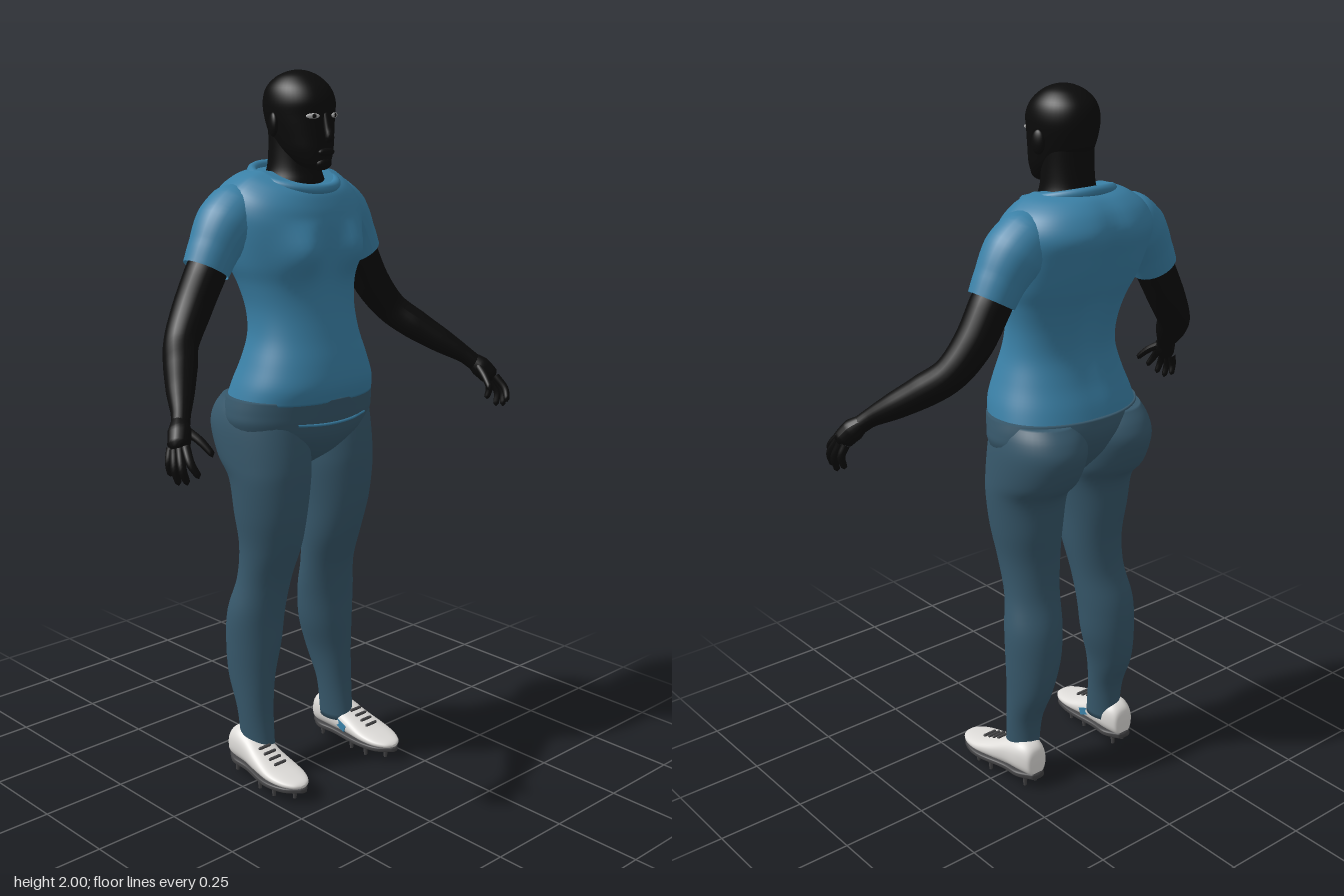
import * as THREE from 'three';

const mat = (name, color) => Object.assign(new THREE.MeshStandardMaterial({ color }), { name });
const MAT = {
  skin: mat('black skin', 0x0b0b0b),
  shirt: mat('shirt blue', 0x3a80a6),
  pants: mat('trouser slate blue', 0x37586b),
  shoe: mat('shoe white', 0xdedcd9),
  sole: mat('sole grey', 0x444446),
  eye: mat('eye grey', 0xb4b4b4),
};
MAT.shirt.side = THREE.DoubleSide;

// Smooth closed body from cross-sections [height, centreX, halfWidth, zFront, zBack], rising
function loft(sections, { p = 2, seg = 48, steps = 5, bend } = {}) {
  const n = (sections.length - 1) * steps, pos = [], idx = [];
  const at = (k, c) => sections[Math.min(Math.max(k, 0), sections.length - 1)][c];
  const value = (u, c) => {
    const k = Math.min(Math.floor(u), sections.length - 2), t = u - k;
    const [a, b, d, e] = [at(k - 1, c), at(k, c), at(k + 1, c), at(k + 2, c)];
    return b + 0.5 * t * (d - a + t * (2 * a - 5 * b + 4 * d - e + t * (3 * (b - d) + e - a)));
  };
  const power = (v) => Math.sign(v) * Math.abs(v) ** (2 / p);
  const v = new THREE.Vector3();
  for (let i = 0; i <= n; i++) {
    const [y, cx, hx, zf, zb] = [0, 1, 2, 3, 4].map((c) => value(i / steps, c));
    for (let j = 0; j < seg; j++) {
      const a = (j / seg) * Math.PI * 2;
      v.set(cx + hx * power(Math.cos(a)), y, (zf + zb) / 2 + ((zf - zb) / 2) * power(Math.sin(a)));
      if (bend) bend(v);
      pos.push(v.x, v.y, v.z);
    }
  }
  for (let i = 0; i < n; i++) for (let j = 0; j < seg; j++) {
    const a = i * seg + j, b = i * seg + (j + 1) % seg;
    idx.push(a, a + seg, b, b, a + seg, b + seg);
  }
  // End caps
  for (const row of [0, n]) {
    const s = at(row ? sections.length - 1 : 0, 0), c = pos.length / 3, base = row * seg;
    v.set(0, s, 0);
    let x = 0, y = 0, z = 0;
    for (let j = 0; j < seg; j++) {
      x += pos[(base + j) * 3] / seg; y += pos[(base + j) * 3 + 1] / seg; z += pos[(base + j) * 3 + 2] / seg;
    }
    pos.push(x, y, z);
    for (let j = 0; j < seg; j++) {
      const a = base + j, b = base + (j + 1) % seg;
      if (row) idx.push(c, b, a); else idx.push(c, a, b);
    }
  }
  const g = new THREE.BufferGeometry();
  g.setAttribute('position', new THREE.Float32BufferAttribute(pos, 3));
  g.setIndex(idx);
  g.computeVertexNormals();
  return g;
}

// Tapering tube through points [x, y, z, radius]; side mirrors x
function limb(points, side = 1, rows = 24, seg = 16) {
  const curve = new THREE.CatmullRomCurve3(points.map(([x, y, z]) => new THREE.Vector3(x * side, y, z)));
  const g = new THREE.TubeGeometry(curve, rows, 1, seg, false), P = g.attributes.position;
  const v = new THREE.Vector3();
  for (let i = 0; i < P.count; i++) {
    const u = Math.floor(i / (seg + 1)) / rows, c = curve.getPointAt(u);
    const f = curve.getUtoTmapping(u) * (points.length - 1), k = Math.min(Math.floor(f), points.length - 2);
    const r = THREE.MathUtils.lerp(points[k][3], points[k + 1][3], f - k);
    v.fromBufferAttribute(P, i).sub(c).multiplyScalar(r).add(c);
    P.setXYZ(i, v.x, v.y, v.z);
  }
  g.computeVertexNormals();
  return g;
}

export function createModel() {
  const model = new THREE.Group();
  model.name = 'figure';
  const add = (name, geo, material, pos = [0, 0, 0], scale = [1, 1, 1], rot = [0, 0, 0]) => {
    const m = new THREE.Mesh(geo, material);
    m.name = name;
    m.position.set(...pos); m.scale.set(...scale); m.rotation.set(...rot);
    model.add(m);
    return m;
  };
  const ball = new THREE.SphereGeometry(1, 24, 16);
  const bump = (d, w) => Math.exp(-(d * d) / (w * w));

  // Shirt body with chest, spine groove and a neckline dropping to the front
  add('shirtBody', loft([
    [1.125, 0, 0.221, 0.135, -0.19], [1.17, 0, 0.21, 0.145, -0.177], [1.23, 0, 0.188, 0.135, -0.155],
    [1.30, 0, 0.166, 0.115, -0.14], [1.37, 0, 0.163, 0.098, -0.148], [1.44, 0, 0.178, 0.088, -0.17],
    [1.50, 0, 0.2, 0.09, -0.2], [1.58, 0, 0.217, 0.095, -0.232], [1.64, 0, 0.22, 0.092, -0.25],
    [1.69, 0, 0.2, 0.085, -0.23], [1.725, 0, 0.155, 0.07, -0.195], [1.74, 0, 0.11, 0.05, -0.16],
  ], {
    p: 2.2, seg: 72, bend: (v) => {
      const { x, y, z } = v;
      if (z > -0.03) v.z += 0.04 * bump(Math.abs(x) - 0.09, 0.055) * bump(y - 1.53, 0.06) * Math.min(1, (z + 0.03) / 0.08);
      else v.z += 0.02 * bump(x, 0.04) * bump(y - 1.5, 0.22) * Math.min(1, (-z - 0.03) / 0.1);
      v.y -= Math.max(0, z + 0.05) * 0.4 * THREE.MathUtils.smoothstep(y, 1.58, 1.72);
    },
  }), MAT.shirt);
  const rim = Array.from({ length: 24 }, (_, i) => {
    const a = (i / 24) * Math.PI * 2, s = Math.sin(a);
    return new THREE.Vector3(0.115 * Math.cos(a), 1.718 - 0.026 * s, -0.05 + 0.112 * s);
  });
  add('collar', new THREE.TubeGeometry(new THREE.CatmullRomCurve3(rim, true), 64, 0.014, 10, true), MAT.shirt);

  // Trouser hips and front seam
  add('hips', loft([
    [0.93, 0, 0.03, 0.02, -0.08], [0.97, 0, 0.11, 0.075, -0.12], [1.02, 0, 0.205, 0.112, -0.165],
    [1.065, 0, 0.236, 0.125, -0.19], [1.1, 0, 0.237, 0.132, -0.198], [1.135, 0, 0.231, 0.138, -0.193],
  ]), MAT.pants);
  const seam = [-0.125, -0.06, 0, 0.06, 0.125].map((x) => [x, 1.063 + 0.4 * x * x, -0.032 + 0.158 * Math.sqrt(1 - (x / 0.236) ** 2), 0.004]);
  add('frontSeam', limb(seam, 1, 16, 8), MAT.shirt);

  // Neck and head
  add('neck', loft([
    [1.64, 0, 0.1, 0.03, -0.14], [1.7, 0, 0.088, 0.035, -0.14], [1.74, 0, 0.074, 0.025, -0.124],
    [1.79, 0, 0.07, 0.02, -0.118], [1.85, 0, 0.07, 0.02, -0.118],
  ]), MAT.skin);
  add('head', loft([
    [1.742, 0, 0.015, 0.065, 0.035], [1.755, 0, 0.04, 0.076, -0.02], [1.79, 0, 0.064, 0.08, -0.08],
    [1.83, 0, 0.076, 0.079, -0.115], [1.88, 0, 0.086, 0.077, -0.132], [1.92, 0, 0.089, 0.078, -0.135],
    [1.955, 0, 0.08, 0.06, -0.123], [1.982, 0, 0.056, 0.028, -0.093], [1.996, 0, 0.027, -0.003, -0.06],
    [2.0, 0, 0.003, -0.03, -0.036],
  ]), MAT.skin);
  add('noseBridge', limb([[0, 1.89, 0.073, 0.008], [0, 1.85, 0.083, 0.011], [0, 1.828, 0.09, 0.013], [0, 1.818, 0.082, 0.006]], 1, 12, 12), MAT.skin);
  add('lips', ball, MAT.skin, [0, 1.79, 0.078], [0.028, 0.011, 0.011]);
  add('chin', ball, MAT.skin, [0, 1.76, 0.066], [0.026, 0.017, 0.017]);

  const fingers = [
    [[0.583, 1.115, 0.195], [0.592, 1.08, 0.225], [0.582, 1.05, 0.242]],
    [[0.592, 1.11, 0.183], [0.605, 1.065, 0.208], [0.596, 1.03, 0.215]],
    [[0.596, 1.105, 0.166], [0.608, 1.06, 0.183], [0.6, 1.024, 0.186]],
    [[0.592, 1.105, 0.148], [0.604, 1.07, 0.155], [0.598, 1.04, 0.152]],
    [[0.55, 1.145, 0.155], [0.535, 1.12, 0.195], [0.524, 1.09, 0.225]],
  ];

  for (const s of [1, -1]) {
    const side = s > 0 ? 'left' : 'right';
    // Face details
    add(side + 'Ear', ball, MAT.skin, [s * 0.087, 1.86, -0.035], [0.011, 0.032, 0.02], [0, s * 0.3, 0]);
    add(side + 'Eye', ball, MAT.eye, [s * 0.039, 1.884, 0.067], [0.019, 0.007, 0.005], [0, s * 0.45, 0]);
    add(side + 'Iris', ball, MAT.skin, [s * 0.038, 1.884, 0.0705], [0.008, 0.0055, 0.003], [0, s * 0.45, 0]);

    // Sleeve, arm and hand
    add(side + 'Sleeve', limb([
      [0.13, 1.645, -0.09, 0.06], [0.17, 1.63, -0.09, 0.083], [0.215, 1.595, -0.088, 0.083],
      [0.255, 1.54, -0.086, 0.07], [0.284, 1.488, -0.085, 0.064],
    ], s, 24, 24), MAT.shirt);
    add(side + 'Arm', limb([
      [0.235, 1.56, -0.087, 0.05], [0.285, 1.48, -0.085, 0.056], [0.34, 1.385, -0.08, 0.053],
      [0.395, 1.31, -0.055, 0.047], [0.44, 1.262, -0.002, 0.045], [0.49, 1.215, 0.06, 0.037],
      [0.533, 1.175, 0.115, 0.025], [0.555, 1.15, 0.14, 0.024],
    ], s, 36, 20), MAT.skin);
    add(side + 'Palm', limb([
      [0.545, 1.165, 0.125, 0.02], [0.565, 1.14, 0.15, 0.031], [0.585, 1.112, 0.17, 0.028], [0.592, 1.1, 0.176, 0.008],
    ], s, 12, 16), MAT.skin);
    fingers.forEach((f, i) => add(side + (i < 4 ? 'Finger' + (i + 1) : 'Thumb'),
      limb([...f.map((q, k) => [...q, [0.012, 0.011, 0.008][k]]), [f[2][0], f[2][1] - 0.005, f[2][2] + 0.001, 0.001]], s, 12, 10), MAT.skin));

    // Trouser leg with knee, calf and buttock
    add(side + 'Leg', loft([
      [0.085, 0.158, 0.043, 0.02, -0.092], [0.2, 0.158, 0.052, 0.006, -0.1], [0.3, 0.153, 0.064, 0.005, -0.138],
      [0.4, 0.142, 0.08, 0.01, -0.15], [0.5, 0.136, 0.086, 0.015, -0.143], [0.6, 0.123, 0.083, 0.03, -0.115],
      [0.7, 0.117, 0.09, 0.065, -0.11], [0.8, 0.121, 0.101, 0.09, -0.123], [0.9, 0.121, 0.112, 0.1, -0.138],
      [0.96, 0.12, 0.118, 0.102, -0.19], [1.04, 0.118, 0.12, 0.095, -0.222], [1.09, 0.116, 0.114, 0.085, -0.211],
      [1.128, 0.114, 0.1, 0.06, -0.18],
    ].map(([y, x, ...r]) => [y, x * s, ...r])), MAT.pants);

    // Shoe and sole, lofted from heel to toe (sections: z, x, halfWidth, -bottom, -top)
    const x = s * 0.184, lie = [Math.PI / 2, 0, 0];
    add(side + 'Shoe', loft([
      [-0.123, x - s * 0.014, 0.02, -0.045, -0.085], [-0.115, x - s * 0.014, 0.035, -0.04, -0.125],
      [-0.08, x - s * 0.013, 0.047, -0.04, -0.143], [-0.03, x - s * 0.01, 0.05, -0.04, -0.132],
      [0.03, x - s * 0.003, 0.054, -0.04, -0.103], [0.09, x, 0.058, -0.04, -0.08],
      [0.14, x, 0.05, -0.04, -0.068], [0.175, x, 0.03, -0.042, -0.06], [0.187, x, 0.008, -0.045, -0.053],
    ], { p: 2.4, seg: 36 }), MAT.shoe, [0, 0, 0], [1, 1, 1], lie);
    add(side + 'Sole', loft([
      [-0.126, x - s * 0.014, 0.02, -0.03, -0.05], [-0.08, x - s * 0.013, 0.047, -0.03, -0.052],
      [-0.02, x - s * 0.009, 0.047, -0.03, -0.05], [0.08, x, 0.06, -0.028, -0.048],
      [0.15, x, 0.046, -0.028, -0.047], [0.19, x, 0.01, -0.031, -0.045],
    ], { p: 4, seg: 36 }), MAT.sole, [0, 0, 0], [1, 1, 1], lie);

    // Laces, inner stripe and studs
    for (let i = 0; i < 4; i++) {
      add(side + 'Lace' + (i + 1), new THREE.CapsuleGeometry(0.0045, 0.036, 4, 8), MAT.sole,
        [x, 0.111 - i * 0.0085, 0.022 + i * 0.022], [1, 1, 1], [0, 0, Math.PI / 2]);
    }
    add(side + 'Stripe', new THREE.BoxGeometry(0.008, 0.022, 0.05), MAT.shirt,
      [x - s * 0.054, 0.075, 0.01], [1, 1, 1], [0.4, -s * 0.05, 0]);
    for (const [dx, z] of [[-0.03, -0.09], [0.008, -0.09], [-0.034, 0.04], [0.034, 0.04], [-0.034, 0.1], [0.034, 0.1], [0, 0.15]]) {
      add(side + 'Stud', new THREE.CylinderGeometry(0.008, 0.005, 0.034, 10), MAT.sole, [x + s * dx, 0.017, z]);
    }
  }
  return model;
}
